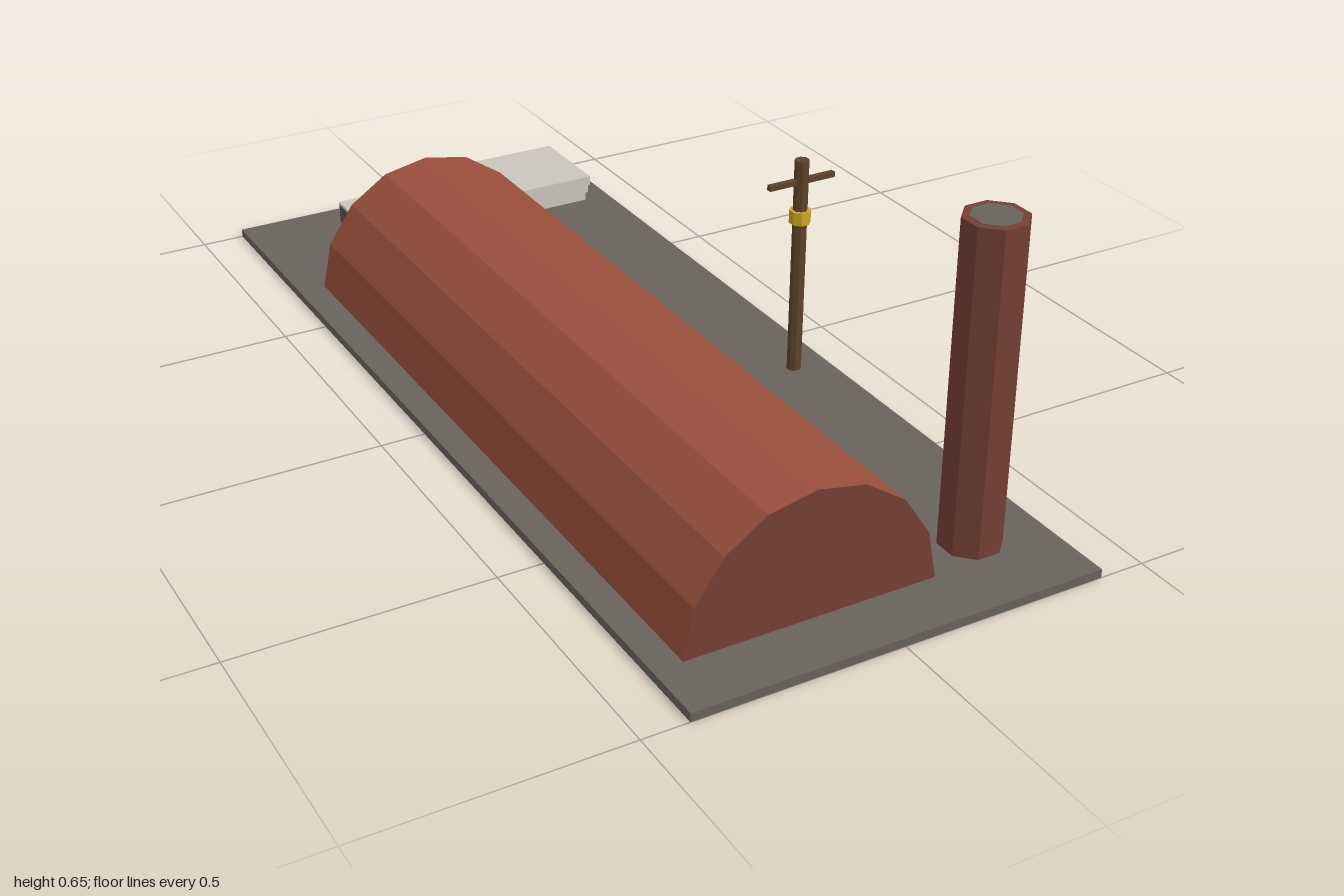
import * as THREE from 'three';

const mat = (name, color) => {
  const m = new THREE.MeshStandardMaterial({ color, flatShading: true });
  m.name = name;
  return m;
};

export function createModel() {
  const group = new THREE.Group();
  const ground = mat('ground grey', 0x68635a);
  const brick = mat('brick red', 0x994f3c);
  const darkBrick = mat('dark brick', 0x743f33);
  const wood = mat('pole wood', 0x5e432a);
  const yellow = mat('yellow', 0xc9a91f);
  const pale = mat('pale clay', 0xcac5bb);
  const iron = mat('iron grey', 0x55514a);
  const glow = mat('door orange', 0xc4701f);

  const add = (name, geometry, material, x, y, z) => {
    const mesh = new THREE.Mesh(geometry, material);
    mesh.name = name;
    mesh.position.set(x, y, z);
    group.add(mesh);
    return mesh;
  };
  // box given by its base height
  const box = (name, material, w, h, d, x, y, z) =>
    add(name, new THREE.BoxGeometry(w, h, d), material, x, y + h / 2, z);
  // octagonal prism with flats facing the axes, sized by its half width
  const octagon = (name, material, half, y0, y1, x, z) => {
    const r = half / Math.cos(Math.PI / 8);
    const g = new THREE.CylinderGeometry(r, r, y1 - y0, 8).rotateY(Math.PI / 8);
    return add(name, g, material, x, (y0 + y1) / 2, z);
  };

  const floor = 0.017;
  box('groundSlab', ground, 0.82, floor, 2, 0, 0, 0);

  // kiln tunnel: eight-sided half round vault
  const profile = new THREE.Shape();
  for (let i = 0; i <= 8; i++) {
    const a = (i / 8) * Math.PI;
    const x = 0.249 * Math.cos(a), y = 0.25 * Math.sin(a);
    if (i) profile.lineTo(x, y); else profile.moveTo(x, y);
  }
  profile.closePath();
  const vault = new THREE.ExtrudeGeometry(profile, { depth: 1.525, bevelEnabled: false });
  add('kilnVault', vault, [darkBrick, brick], -0.104, floor, -0.645);
  box('kilnDoor', glow, 0.145, 0.112, 0.008, -0.1, floor, -0.646);

  // chimney with a grey mouth inside its rim
  octagon('chimney', darkBrick, 0.055, 0.001, 0.647, 0.264, 0.82);
  octagon('chimneyMouth', ground, 0.042, 0.64, 0.6485, 0.264, 0.82);

  // utility pole
  octagon('pole', wood, 0.0135, 0.001, 0.472, 0.336, 0.145);
  box('crossbar', wood, 0.148, 0.011, 0.011, 0.336, 0.422, 0.145);
  octagon('poleBand', yellow, 0.02, 0.34, 0.367, 0.336, 0.145);

  // rails leaving the kiln and the loaded cart on them
  for (const x of [-0.164, -0.046]) box('rail', iron, 0.012, 0.011, 0.36, x, floor, -0.82);
  box('cartBody', iron, 0.2, 0.042, 0.172, -0.105, 0.028, -0.826);
  box('cartLoad', pale, 0.202, 0.006, 0.174, -0.105, 0.07, -0.826);

  // stack of pale slabs, each shifted a little forward
  for (let i = 0; i < 3; i++) {
    box('stackedSlab', pale, 0.25, 0.021, 0.205, 0.226, floor + i * 0.0235, -0.871 + i * 0.011);
  }
  return group;
}
